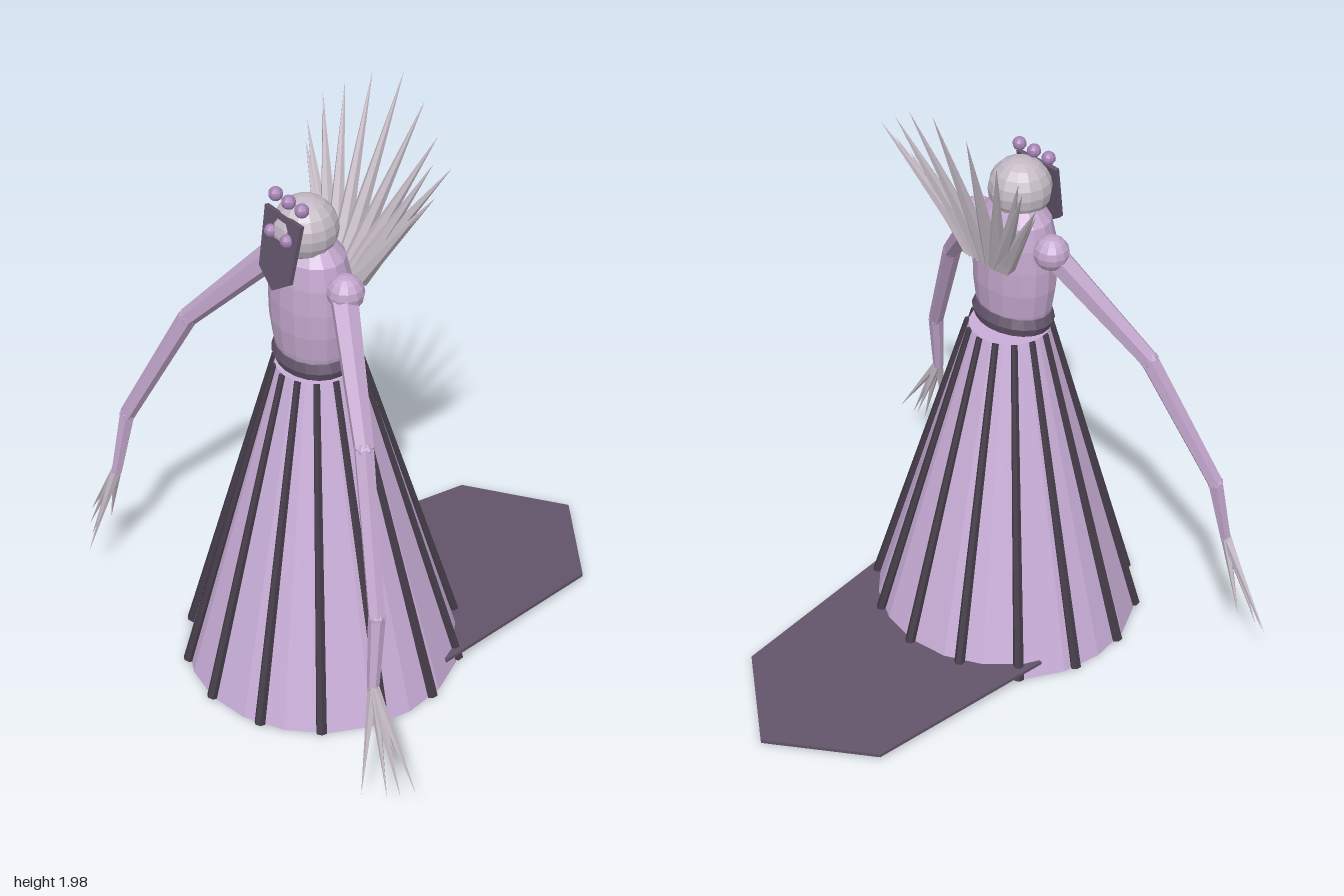
import * as THREE from 'three';

const mat = (name, color) => {
  const m = new THREE.MeshStandardMaterial({ color, flatShading: true });
  m.name = name;
  return m;
};
const V = (x, y, z) => new THREE.Vector3(x, y, z);

export function createModel() {
  const group = new THREE.Group();
  const cloth = mat('lilac cloth', 0xc9aed8);
  const skin = mat('lilac skin', 0xc2a6cc);
  const bone = mat('pale bone', 0xc4bac5);
  const bead = mat('purple bead', 0xa583b3);
  const dark = mat('dark plum', 0x62546a);
  const black = mat('charcoal', 0x443c48);

  const add = (name, geo, material, x = 0, y = 0, z = 0) => {
    const m = new THREE.Mesh(geo, material);
    m.name = name;
    m.position.set(x, y, z);
    group.add(m);
    return m;
  };
  // tapered rod from a (radius ra) to b (radius rb)
  const rod = (name, a, b, ra, rb, material, sides = 6) => {
    const d = b.clone().sub(a);
    const m = add(name, new THREE.CylinderGeometry(rb, ra, d.length(), sides), material);
    m.position.copy(a).addScaledVector(d, 0.5);
    m.quaternion.setFromUnitVectors(V(0, 1, 0), d.normalize());
    return m;
  };
  const ball = (name, r, material, x, y, z, w = 10, h = 8) =>
    add(name, new THREE.SphereGeometry(r, w, h), material, x, y, z);
  // flat plate from an outline, extruded
  const plate = (name, pts, depth, material) => {
    const shape = new THREE.Shape(pts.map(([x, y]) => new THREE.Vector2(x, y)));
    const geo = new THREE.ExtrudeGeometry(shape, { depth, bevelEnabled: false });
    return add(name, geo.translate(0, 0, -depth / 2), material);
  };

  // skirt with dark ribs
  const cz = 0.305;
  add('skirt', new THREE.CylinderGeometry(0.13, 0.445, 1.115, 20), cloth, 0, 0.5675, cz);
  for (let i = 0; i < 14; i++) {
    const a = (i / 14) * Math.PI * 2, s = Math.sin(a), c = Math.cos(a);
    rod('skirtRib', V(s * 0.448, 0.015, cz + c * 0.448), V(s * 0.132, 1.125, cz + c * 0.132),
      0.018, 0.011, black);
  }

  // belt
  const belt = add('belt', new THREE.TorusGeometry(0.105, 0.04, 8, 20).rotateX(Math.PI / 2),
    dark, 0, 1.168, 0.32);
  belt.scale.z = 0.8;
  belt.rotation.x = 0.05;

  // torso
  const profile = [[0, 1.13], [0.115, 1.13], [0.135, 1.21], [0.146, 1.29], [0.147, 1.37],
    [0.14, 1.45], [0.122, 1.52], [0.085, 1.56], [0, 1.575]];
  add('torso', new THREE.LatheGeometry(profile.map(([x, y]) => new THREE.Vector2(x, y)), 16),
    skin, 0, 0, 0.323).scale.z = 0.79;

  // head, mask, eyes and crown beads
  ball('head', 0.1, bone, 0, 1.605, 0.338, 14, 10);
  const mask = plate('mask', [[-0.085, 0.12], [-0.073, -0.07], [0, -0.12], [0.073, -0.07], [0.085, 0.12]],
    0.014, dark);
  mask.position.set(0, 1.553, 0.435);
  mask.rotation.x = -0.2;
  for (const s of [-1, 1]) ball('eye', 0.021, bead, s * 0.038, 1.61, 0.433);
  for (const s of [-1, 0, 1]) ball('crownBead', 0.022, bead, s * 0.062, 1.708, 0.395);

  // arms, hands and clawed fingers
  const tips = [[0.87, 0.18, 0.63], [0.835, 0.155, 0.66], [0.795, 0.14, 0.68],
    [0.735, 0.135, 0.73], [0.765, 0.21, 0.615]];
  for (const s of [-1, 1]) {
    ball('shoulder', 0.057, skin, s * 0.16, 1.45, 0.317, 12, 8);
    const j = [V(s * 0.17, 1.43, 0.33), V(s * 0.44, 1.12, 0.475), V(s * 0.645, 0.69, 0.595),
      V(s * 0.675, 0.455, 0.635)];
    const r = [0.043, 0.031, 0.026, 0.018];
    for (let i = 0; i < 3; i++) {
      rod(['upperArm', 'forearm', 'hand'][i], j[i], j[i + 1], r[i], r[i + 1], skin);
      if (i) ball('armJoint', r[i], skin, j[i].x, j[i].y, j[i].z, 6, 5);
    }
    for (const [x, y, z] of tips)
      rod('finger', V(s * 0.674, 0.47, 0.633), V(s * x, y, z), 0.017, 0, bone, 5);
  }

  // fan of spikes behind the head: [base x, tip x, tip y, tip z]
  const spikes = [[0, 0, 1.99, -0.03], [0.022, 0.12, 1.95, -0.01], [0.04, 0.215, 1.885, 0.02],
    [0.055, 0.3, 1.825, 0.04], [0.065, 0.255, 1.83, 0.07], [0.07, 0.3, 1.75, 0.1],
    [0.075, 0.27, 1.7, 0.13]];
  for (const [bx, x, y, z] of spikes)
    for (const s of bx ? [-1, 1] : [1])
      rod('spike', V(s * bx, 1.41, 0.205), V(s * x, y, z), 0.032, 0, bone, 6);

  // train lying behind the skirt
  const train = plate('train', [[-0.38, -0.1], [0.38, -0.1], [0.315, 0.555], [0, 0.78], [-0.315, 0.555]],
    0.012, dark);
  train.rotation.x = -Math.PI / 2 - 0.042;
  train.position.y = 0.056;

  return group;
}
